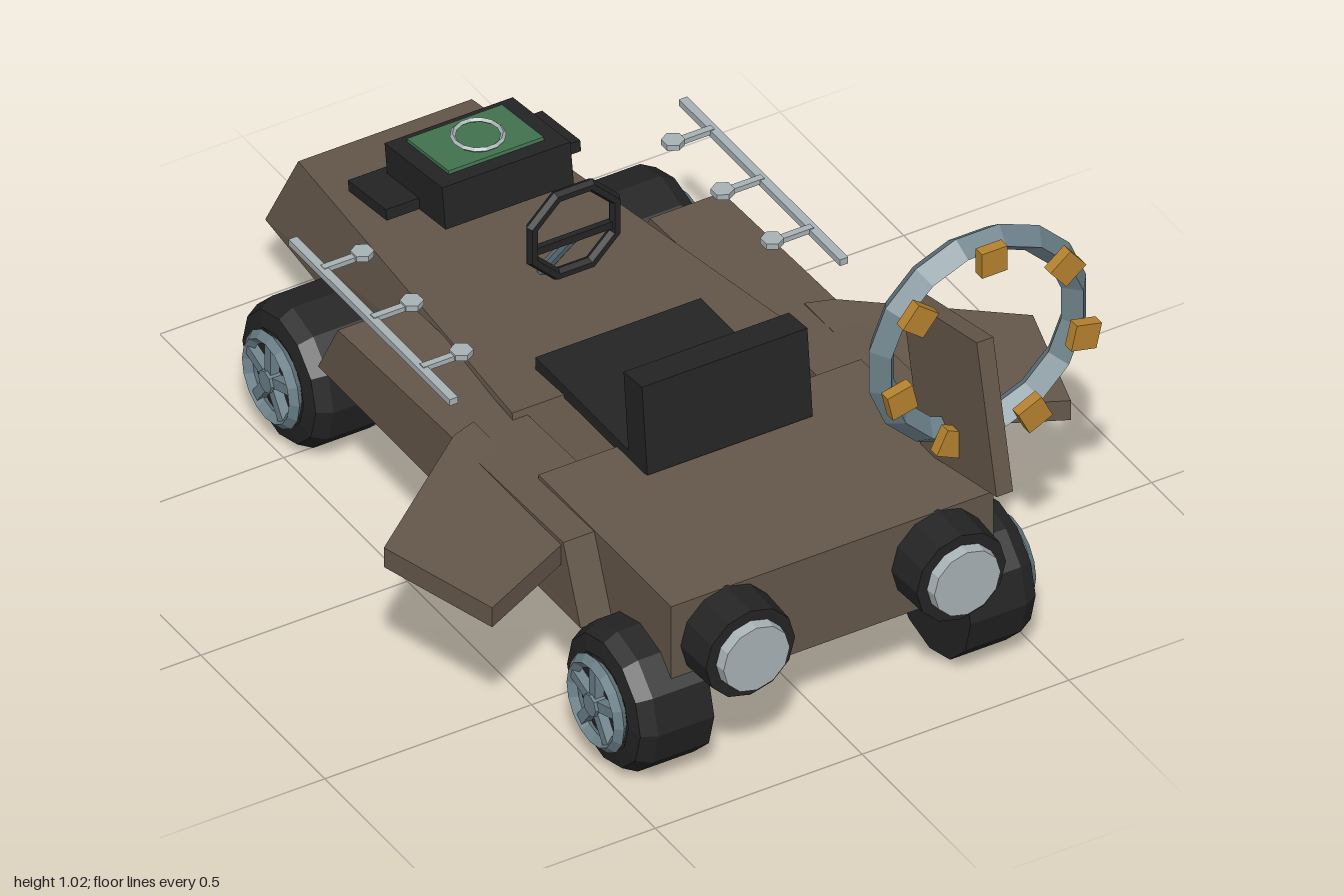
import * as THREE from 'three';

const paint = (name, color) => {
  const m = new THREE.MeshStandardMaterial({ color, flatShading: true });
  m.name = name;
  return m;
};

export function createModel() {
  const brown = paint('hull brown', 0x64574a);
  const black = paint('rubber black', 0x242424);
  const steel = paint('blue steel', 0x6c8089);
  const silver = paint('pale silver', 0xa8b2b5);
  const gold = paint('amber', 0xb5822f);
  const green = paint('screen green', 0x437551);

  const root = new THREE.Group();
  root.name = 'buggy';

  const add = (name, geo, mat, x = 0, y = 0, z = 0, parent = root) => {
    const m = new THREE.Mesh(geo, mat);
    m.name = name;
    m.position.set(x, y, z);
    parent.add(m);
    return m;
  };
  const group = (name, x = 0, y = 0, z = 0, parent = root) => {
    const g = new THREE.Group();
    g.name = name;
    g.position.set(x, y, z);
    parent.add(g);
    return g;
  };
  const box = (w, h, d) => new THREE.BoxGeometry(w, h, d);
  const cyl = (r0, r1, h, n) => new THREE.CylinderGeometry(r0, r1, h, n);
  // Prism from a closed outline, extruded along its own z
  const prism = (pts, depth) => new THREE.ExtrudeGeometry(
    new THREE.Shape(pts.map(p => new THREE.Vector2(p[0], p[1]))),
    { depth, bevelEnabled: false });

  // Tapered nose: each end has its own half width, height and z, top and bottom
  const nose = box(2, 2, 2);
  const p = nose.attributes.position;
  for (let i = 0; i < p.count; i++) {
    const top = p.getY(i) > 0, rear = p.getZ(i) > 0;
    const [w, y, z] = rear ? (top ? [0.325, 0.452, 0.13] : [0.345, 0.2, 0.21])
      : (top ? [0.21, 0.385, -0.925] : [0.245, 0.2, -1]);
    p.setXYZ(i, Math.sign(p.getX(i)) * w, y, z);
  }
  nose.computeVertexNormals();
  add('nose', nose, brown);
  add('rearBody', box(0.78, 0.235, 0.535), brown, 0, 0.3375, 0.6125);

  for (const s of [1, -1]) {
    const side = s > 0 ? 'left' : 'right';

    // Side pod: profile in (z, y), turned so depth runs along x
    const pod = prism([[0.42, 0.275], [0.34, 0.42], [-0.1, 0.436], [-0.57, 0.452], [-0.64, 0.275]], 0.175);
    pod.rotateY(Math.PI / 2);
    add(side + 'SidePod', pod, brown, s > 0 ? 0.29 : -0.465);

    // Swept wing: outline in (x, z), laid flat
    const wing = prism([[0.4, 0.1], [0.46, 0.12], [0.785, 0.38], [0.7, 0.675], [0.4, 0.53]]
      .map(([x, z]) => [s * x, -z]), 0.05);
    wing.rotateX(-Math.PI / 2);
    add(side + 'Wing', wing, brown, 0, 0.39, 0);

    // Rear lamp
    const lamp = group(side + 'Lamp', s * 0.255, 0.345, 0.88);
    lamp.rotation.x = Math.PI / 2;
    add('lampHousing', cyl(0.108, 0.112, 0.1, 12), black, 0, 0.045, 0, lamp);
    add('lampLens', cyl(0.08, 0.083, 0.025, 12), silver, 0, 0.1075, 0, lamp);

    // Hand rail with three struts
    const rail = group(side + 'Rail', s * 0.472, 0.545, 0);
    add('railBar', box(0.02, 0.016, 0.65), silver, 0, 0, -0.185, rail);
    for (const z of [-0.39, -0.19, 0.01]) {
      add('railStrut', box(0.1, 0.012, 0.016), silver, -s * 0.05, 0.004, z, rail);
      add('railKnob', cyl(0.025, 0.025, 0.014, 6), silver, -s * 0.096, 0.008, z, rail);
    }

    // Wheels, built facing +x and turned round for the other side
    for (const [end, z] of [['rear', -0.555], ['front', 0.755]]) {
      const wheel = group(side + end + 'Wheel', s * 0.31, 0.167, z);
      wheel.rotation.y = s > 0 ? 0 : Math.PI;
      const tyre = new THREE.LatheGeometry(
        [[0, 0], [0.166, 0], [0.166, 0.135], [0.148, 0.168], [0.11, 0.175], [0.1, 0.165], [0, 0.165]]
          .map(q => new THREE.Vector2(...q)), 12);
      tyre.rotateZ(-Math.PI / 2);
      add('tyre', tyre, black, 0, 0, 0, wheel);
      const rim = new THREE.TorusGeometry(0.095, 0.016, 4, 16);
      rim.rotateY(Math.PI / 2);
      add('rim', rim, steel, 0.185, 0, 0, wheel);
      const hub = cyl(0.026, 0.026, 0.03, 8);
      hub.rotateZ(-Math.PI / 2);
      add('hub', hub, steel, 0.188, 0, 0, wheel);
      for (let i = 0; i < 5; i++) {
        const spoke = box(0.022, 0.09, 0.024);
        spoke.translate(0, 0.05, 0);
        add('spoke', spoke, steel, 0.185, 0, 0, wheel).rotation.x = i * Math.PI * 2 / 5;
      }
    }
  }

  // Seat with a leaning padded back
  add('seatBase', box(0.4, 0.03, 0.44), black, 0, 0.46, 0.235);
  const back = group('seatBack', 0, 0.455, 0.43);
  back.rotation.x = -0.1;
  add('backFrame', box(0.4, 0.215, 0.075), black, 0, 0.1075, 0, back);
  add('backPad', box(0.31, 0.16, 0.03), brown, 0, 0.11, -0.05, back);

  // Steering wheel and column
  const ring = new THREE.TorusGeometry(0.108, 0.014, 6, 8);
  ring.rotateZ(Math.PI / 8);
  add('steeringWheel', ring, black, 0, 0.615, -0.165);
  add('steeringCrossbar', box(0.2, 0.018, 0.014), black, 0, 0.595, -0.165);
  const column = add('steeringColumn', cyl(0.013, 0.013, 0.2, 8), steel, 0, 0.51, -0.23);
  column.rotation.x = Math.atan2(0.12, 0.16);

  // Tilted console with a screen and a floating dial
  const dash = group('console', 0, 0.542, -0.545);
  dash.rotation.x = -0.14;
  add('consoleBox', box(0.31, 0.1, 0.235), black, 0, 0, 0, dash);
  add('consoleFlange', box(0.47, 0.026, 0.155), black, 0, -0.035, -0.065, dash);
  add('screen', box(0.23, 0.008, 0.17), green, 0, 0.054, -0.008, dash);
  const dial = new THREE.TorusGeometry(0.053, 0.006, 4, 14);
  dial.rotateX(Math.PI / 2);
  add('dial', dial, silver, 0, 0.613, -0.55);

  // Leaning fin that carries the ring
  const fin = add('fin', box(0.04, 0.357, 0.312), brown, 0.365, 0.652, 0.775);
  fin.rotation.x = -Math.atan2(13, 57) + 0.01;
  fin.rotation.x = -fin.rotation.x;
  fin.rotation.x = -Math.atan2(0.07, 0.305);

  // Ring with seven amber blocks
  const gate = group('ringGate', 0.432, 0.762, 0.745);
  const hoop = new THREE.TorusGeometry(0.237, 0.031, 4, 16);
  hoop.rotateZ(Math.PI / 16);
  hoop.scale(1, 1, 1.3);
  add('hoop', hoop, steel, 0, 0, 0, gate);
  for (let i = 0; i < 7; i++) {
    const a = i * Math.PI * 2 / 7;
    const b = add('amberBlock', box(0.062, 0.062, 0.026), gold,
      Math.sin(a) * 0.228, Math.cos(a) * 0.228, 0.057, gate);
    b.rotation.z = -a;
  }
  return root;
}
